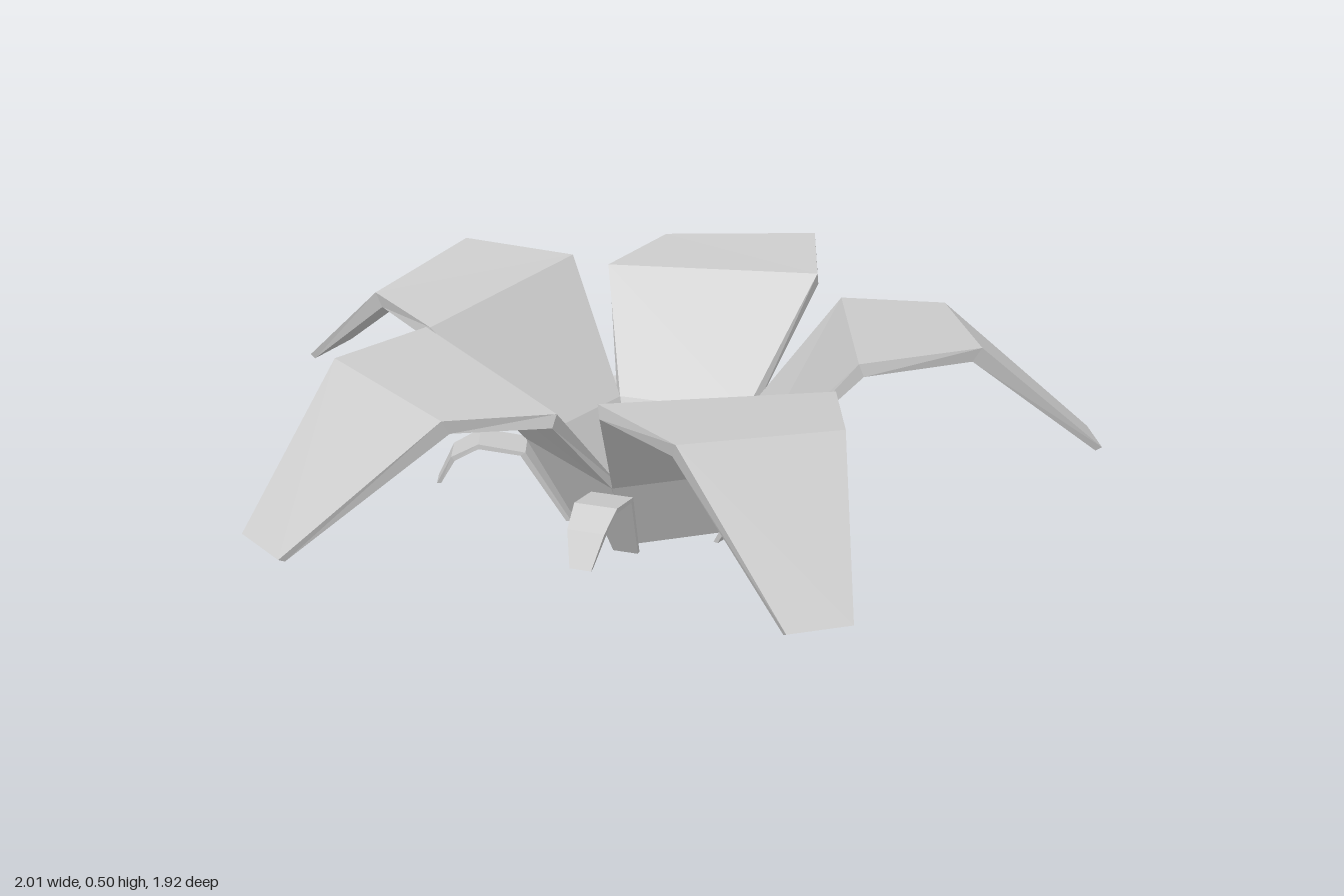
import * as THREE from 'three';

// Closed slab lofted through rows that run outward along +z.
// Row: u = left/right offset, r = distance from the axis, y = height,
// under = shift of the lower side [outward, up, widen].
function slab(rows) {
  const rings = rows.map(({ u, r, y, under: [dr, dy, w] }) => [
    [u[0], y[0], r[0]],
    [u[1], y[1], r[1]],
    [u[1] + w, y[1] + dy, r[1] + dr],
    [u[0] - w, y[0] + dy, r[0] + dr],
  ]);
  const pos = [];
  const quad = (a, b, c, d) => pos.push(...a, ...b, ...c, ...a, ...c, ...d);
  for (let i = 0; i < rings.length - 1; i++) {
    const p = rings[i], q = rings[i + 1];
    for (let k = 0; k < 4; k++) {
      const n = (k + 1) % 4;
      quad(p[k], q[k], q[n], p[n]);
    }
  }
  quad(...rings[0]);
  quad(...[...rings[rings.length - 1]].reverse());
  const geo = new THREE.BufferGeometry();
  geo.setAttribute('position', new THREE.Float32BufferAttribute(pos, 3));
  geo.computeVertexNormals();
  return geo;
}

export function createModel() {
  const model = new THREE.Group();
  model.name = 'flower';
  const material = new THREE.MeshStandardMaterial({ color: 0xcccccc, flatShading: true });

  // Petal: cup wall, rising panel, flat shoulder with a slanted fold, drooping tip
  const petal = slab([
    { u: [-0.097, 0.097], r: [0.135, 0.135], y: [0.015, 0.015], under: [0.027, 0, 0.02] },
    { u: [-0.16, 0.16], r: [0.22, 0.22], y: [0.205, 0.205], under: [0.024, -0.005, 0.016] },
    { u: [-0.27, 0.27], r: [0.45, 0.45], y: [0.495, 0.46], under: [0.012, -0.03, 0] },
    { u: [-0.19, 0.195], r: [0.73, 0.69], y: [0.505, 0.475], under: [-0.02, -0.033, 0] },
    { u: [-0.062, 0.085], r: [1.04, 1.03], y: [0.212, 0.205], under: [-0.015, -0.008, 0] },
  ]);

  // Sepal: narrow strip up the seam between petals, then curling outward and down
  const strip = (r, y, hw, dr, dy) => ({ u: [-hw, hw], r: [r, r], y: [y, y], under: [dr, dy, 0] });
  const sepal = slab([
    strip(0.195, 0, 0.03, 0.012, 0),
    strip(0.30, 0.185, 0.05, 0.012, -0.008),
    strip(0.41, 0.205, 0.05, 0, -0.012),
    strip(0.475, 0.17, 0.043, -0.008, -0.01),
    strip(0.512, 0.095, 0.025, -0.01, 0),
  ]);

  // Five petals with a sepal in each gap
  for (let i = 0; i < 5; i++) {
    for (const [name, geo, offset] of [['petal', petal, 0], ['sepal', sepal, 0.5]]) {
      const mesh = new THREE.Mesh(geo, material);
      mesh.name = name + (i + 1);
      mesh.rotation.y = ((i + offset) * Math.PI * 2) / 5;
      mesh.position.z = -0.09;
      model.add(mesh);
    }
  }
  return model;
}
